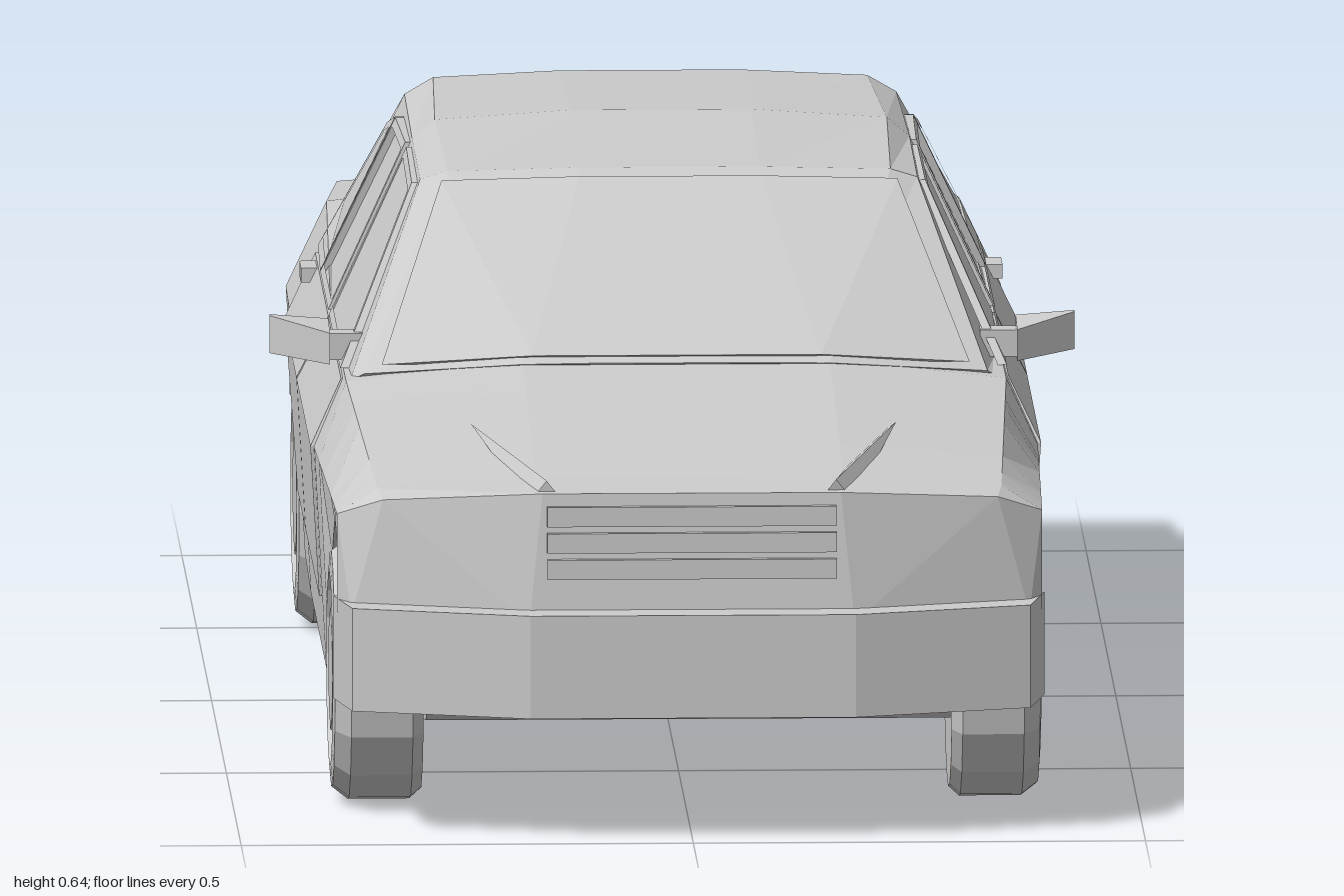
import * as THREE from 'three';
import { ConvexGeometry } from 'three/addons/geometries/ConvexGeometry.js';

const material = new THREE.MeshStandardMaterial({ color: 0xcccccc, flatShading: true });

function mesh(name, geometry, parent) {
  const m = new THREE.Mesh(geometry, material);
  m.name = name;
  parent.add(m);
  return m;
}

// Skin over mirrored rows; each row lists [x, y, z] from bottom to top on the left side
function loft(rows) {
  const half = rows[0].length, n = half * 2, pos = [], idx = [];
  for (const r of rows) {
    r.forEach(p => pos.push(...p));
    [...r].reverse().forEach(([x, y, z]) => pos.push(-x, y, z));
  }
  for (let i = 0; i < rows.length - 1; i++) {
    for (let j = 0; j < n; j++) {
      const a = i * n + j, b = i * n + (j + 1) % n;
      idx.push(a, a + n, b, b, a + n, b + n);
    }
  }
  const last = (rows.length - 1) * n;
  for (let j = 0; j < half - 1; j++) {
    const a = j, b = j + 1, c = n - 2 - j, d = n - 1 - j;
    idx.push(a, b, c, a, c, d);
    idx.push(last + a, last + c, last + b, last + a, last + d, last + c);
  }
  const g = new THREE.BufferGeometry();
  g.setAttribute('position', new THREE.Float32BufferAttribute(pos, 3));
  g.setIndex(idx);
  g.computeVertexNormals();
  return g;
}

const hull = pts => new ConvexGeometry(pts.map(p => new THREE.Vector3(...p)));
const mirroredHull = pts => hull([...pts, ...pts.map(([x, y, z]) => [-x, y, z])]);

// Outer surface of the flank and the window area at height y
function flankX(y) {
  if (y < 0.35) return 0.385 + (y - 0.1) * 0.06;
  return y < 0.42 ? 0.4 - (y - 0.35) * 0.5 : 0.365 - (y - 0.42) * 0.47;
}

// Thin panel from [z, y] corners, laid on the flank; rim > 0 leaves a frame
function plate(pts, thickness, rim = 0) {
  const v = pts.map(([z, y]) => new THREE.Vector2(-z, y));
  const shape = new THREE.Shape(v);
  if (rim) {
    const c = v.reduce((s, p) => s.add(p), new THREE.Vector2()).divideScalar(v.length);
    shape.holes.push(new THREE.Path(v.map(p => p.clone().lerp(c, rim))));
  }
  const g = new THREE.ExtrudeGeometry(shape, { depth: thickness + 0.004, bevelEnabled: false });
  g.rotateY(Math.PI / 2);
  const p = g.attributes.position;
  for (let i = 0; i < p.count; i++) p.setX(i, p.getX(i) - 0.004 + flankX(p.getY(i)));
  g.computeVertexNormals();
  return g;
}

// Upper body outline: z, belt x, shoulder x, shoulder y, deck y
const KEYS = [
  [0.87, 0.39, 0.345, 0.378, 0.39], [0.42, 0.4, 0.365, 0.425, 0.447],
  [-0.1, 0.4, 0.365, 0.42, 0.44], [-0.7, 0.395, 0.35, 0.445, 0.468],
  [-0.96, 0.36, 0.33, 0.425, 0.437]
];
function outline(z) {
  let i = 0;
  while (i < KEYS.length - 2 && z < KEYS[i + 1][0]) i++;
  const a = KEYS[i], b = KEYS[i + 1], t = (z - a[0]) / (b[0] - a[0]);
  return a.map((v, k) => v + (b[k] - v) * t);
}

function buildBody(car) {
  // Stations: z, floor height, lower edge of the flank (raised over the wheels)
  const stations = [
    [0.87, 0.14, 0.14], [0.86, 0.14, 0.145], [0.82, 0.11, 0.25], [0.75, 0.1, 0.315],
    [0.61, 0.1, 0.315], [0.54, 0.1, 0.25], [0.51, 0.1, 0.105], [0.42, 0.1, 0.105],
    [-0.1, 0.1, 0.105], [-0.36, 0.1, 0.105], [-0.39, 0.1, 0.25], [-0.46, 0.1, 0.315],
    [-0.6, 0.1, 0.315], [-0.67, 0.12, 0.25], [-0.7, 0.13, 0.135], [-0.96, 0.16, 0.165]
  ];
  const rows = stations.map(([z, floor, edge]) => {
    const [, xb, xs, ys, yd] = outline(z);
    return [[0.29, floor], [0.29, edge], [xb - 0.013, edge], [xb, 0.35], [xs, ys], [0.17, yd]]
      .map(p => [...p, z]);
  });
  mesh('body', loft(rows), car);

  mesh('nose', mirroredHull([
    [0.39, 0.24, 0.87], [0.375, 0.24, 0.9], [0.18, 0.24, 0.96], [0.39, 0.35, 0.87],
    [0.345, 0.378, 0.87], [0.34, 0.37, 0.9], [0.165, 0.383, 0.945], [0.17, 0.39, 0.87]
  ]), car);
  mesh('frontBumper', mirroredHull([0.14, 0.255].flatMap(y => [
    [0.393, y, 0.85], [0.375, y, 0.94], [0.18, y, 1]
  ])), car);
  mesh('rearBumper', mirroredHull([
    [0.385, 0.2, -0.88], [0.385, 0.28, -0.88], [0.36, 0.17, -0.99], [0.36, 0.28, -0.995]
  ]), car);

  // Grille bars
  for (let i = 0; i < 3; i++) {
    const bar = mesh('grilleBar', new THREE.BoxGeometry(0.32, 0.022, 0.02), car);
    bar.position.set(0, 0.3 + i * 0.029, 0.95 - i * 0.003);
  }
  // Boot lid seam trim
  mesh('bootTrim', new THREE.BoxGeometry(0.44, 0.006, 0.008), car).position.set(0, 0.35, -0.961);
}

function buildCabin(car) {
  mesh('cabin', loft([
    [[0.36, 0.42, 0.39], [0.345, 0.43, 0.4], [0.17, 0.446, 0.44], [0.1, 0.447, 0.44]],
    [[0.365, 0.42, 0.17], [0.275, 0.61, 0.17], [0.245, 0.62, 0.175], [0.1, 0.624, 0.18]],
    [[0.365, 0.42, -0.1], [0.275, 0.612, -0.1], [0.25, 0.633, -0.1], [0.1, 0.643, -0.1]],
    [[0.36, 0.42, -0.45], [0.272, 0.605, -0.45], [0.24, 0.622, -0.46], [0.1, 0.628, -0.465]],
    [[0.35, 0.44, -0.69], [0.33, 0.448, -0.69], [0.27, 0.46, -0.7], [0.15, 0.468, -0.735]]
  ]), car);
  mesh('windscreen', mirroredHull([
    [0.325, 0.441, 0.405], [0.16, 0.455, 0.436], [0.252, 0.612, 0.19], [0.1, 0.617, 0.198]
  ]), car);
  mesh('rearWindow', mirroredHull([
    [0.265, 0.474, -0.686], [0.15, 0.479, -0.722], [0.225, 0.615, -0.48], [0.1, 0.62, -0.486]
  ]), car);
}

function buildSide() {
  const side = new THREE.Group();
  // Doors, in a lower and an upper panel that meet at the belt crease
  mesh('frontDoorLower', plate([[0.39, 0.18], [0.405, 0.35], [-0.06, 0.35], [-0.07, 0.18]], 0.004), side);
  mesh('frontDoorUpper', plate([[0.405, 0.35], [0.37, 0.42], [-0.05, 0.42], [-0.06, 0.35]], 0.004), side);
  mesh('rearDoorLower', plate([[-0.08, 0.18], [-0.07, 0.35], [-0.48, 0.35], [-0.42, 0.32], [-0.37, 0.25], [-0.335, 0.18]], 0.004), side);
  mesh('rearDoorUpper', plate([[-0.07, 0.35], [-0.06, 0.42], [-0.5, 0.42], [-0.48, 0.35]], 0.004), side);

  // Window frames
  mesh('frontWindowFrame', plate([[0.33, 0.425], [0.16, 0.605], [-0.065, 0.608], [-0.045, 0.425]], 0.006, 0.1), side);
  mesh('rearWindowFrame', plate([[-0.075, 0.425], [-0.1, 0.608], [-0.32, 0.6], [-0.34, 0.425]], 0.006, 0.1), side);
  mesh('quarterWindowFrame', plate([[-0.345, 0.425], [-0.325, 0.6], [-0.38, 0.585], [-0.49, 0.43]], 0.006, 0.14), side);

  // Door handles
  for (const [z, y] of [[0, 0.4], [-0.43, 0.41]]) {
    mesh('doorHandle', new THREE.BoxGeometry(0.02, 0.016, 0.05), side).position.set(0.378, y, z);
  }

  // Wing mirror on a short arm
  mesh('mirror', hull([
    [0.38, 0.43, 0.275], [0.38, 0.472, 0.275], [0.38, 0.43, 0.335], [0.38, 0.465, 0.335],
    [0.445, 0.435, 0.275], [0.445, 0.477, 0.275], [0.445, 0.435, 0.285], [0.445, 0.477, 0.285]
  ]), side);
  mesh('mirrorArm', new THREE.BoxGeometry(0.05, 0.03, 0.03), side).position.set(0.365, 0.445, 0.29);

  // Raised bonnet crease
  mesh('bonnetCrease', hull([
    [0.235, 0.417, 0.67], [0.16, 0.396, 0.935], [0.18, 0.37, 0.93], [0.14, 0.37, 0.935], [0.2, 0.39, 0.67]
  ]), side);

  // Exhaust tip
  mesh('exhaust', new THREE.BoxGeometry(0.03, 0.02, 0.1), side).position.set(0.25, 0.155, -0.95);

  // Wheels: tyre and dished rim in one profile, with an eight-sided hub cap
  const profile = [
    [0, -0.05], [0.135, -0.05], [0.146, -0.038], [0.146, 0.03], [0.132, 0.048],
    [0.108, 0.05], [0.1, 0.038], [0.08, 0.036], [0, 0.036]
  ].map(p => new THREE.Vector2(...p));
  for (const z of [0.68, -0.53]) {
    const wheel = new THREE.Group();
    wheel.name = z > 0 ? 'frontWheel' : 'rearWheel';
    wheel.position.set(0.342, 0.146, z);
    wheel.rotation.z = -Math.PI / 2;
    mesh('tyreAndRim', new THREE.LatheGeometry(profile, 16), wheel);
    mesh('hubCap', new THREE.CylinderGeometry(0.068, 0.08, 0.014, 8), wheel).position.y = 0.042;
    side.add(wheel);
  }
  return side;
}

export function createModel() {
  const car = new THREE.Group();
  car.name = 'saloonCar';
  buildBody(car);
  buildCabin(car);
  const left = buildSide();
  left.name = 'leftSide';
  const right = left.clone();
  right.name = 'rightSide';
  right.scale.x = -1;
  car.add(left, right);
  return car;
}
